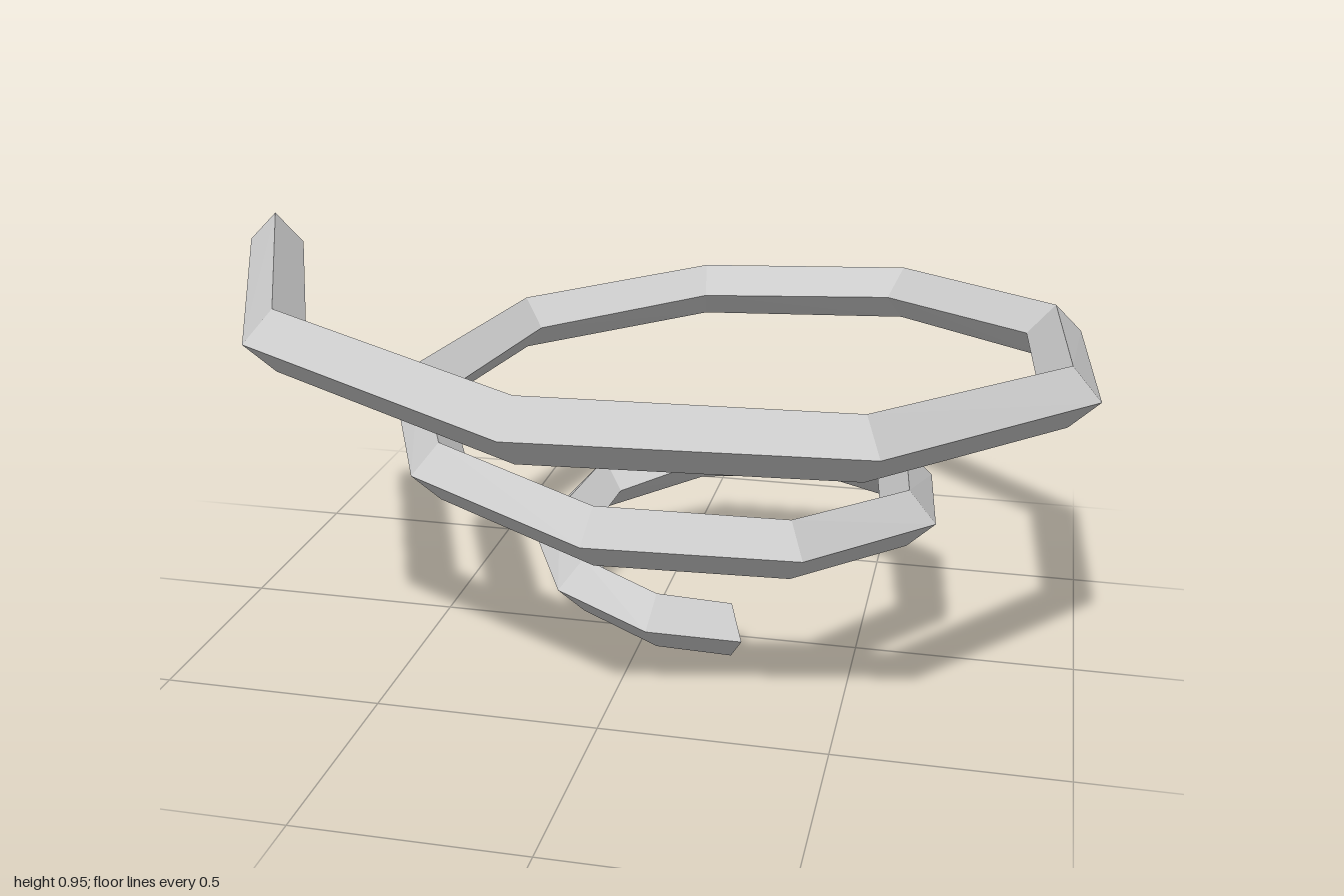
import * as THREE from 'three';

const SEGMENTS = 21;          // straight bars along the spiral
const STEP = Math.PI * 2 / 9; // nine bars per turn
const START = Math.PI / 3;
const HALF = 0.067;           // centre to corner of the diamond section

// Corner k of the diamond section at station i, lying in the radial plane
function corner(i, k) {
  const angle = START + i * STEP;
  const a = k * Math.PI / 2;
  const r = 0.232 + i * 0.0383 + HALF * Math.cos(a);
  const y = HALF + i * 0.0387 + HALF * Math.sin(a);
  return [0.105 + r * Math.cos(angle), y, -0.098 + r * Math.sin(angle)];
}

export function createModel() {
  const positions = [];
  const quad = (a, b, c, d) => positions.push(...a, ...b, ...c, ...a, ...c, ...d);

  // Four sides of every bar
  for (let i = 0; i < SEGMENTS; i++) {
    for (let k = 0; k < 4; k++) {
      quad(corner(i, k), corner(i, k + 1), corner(i + 1, k + 1), corner(i + 1, k));
    }
  }

  // End caps
  quad(...[3, 2, 1, 0].map(k => corner(0, k)));
  quad(...[0, 1, 2, 3].map(k => corner(SEGMENTS, k)));

  const geometry = new THREE.BufferGeometry();
  geometry.setAttribute('position', new THREE.Float32BufferAttribute(positions, 3));
  geometry.computeVertexNormals();

  const spiral = new THREE.Mesh(
    geometry,
    new THREE.MeshStandardMaterial({ color: 0xcccccc, flatShading: true })
  );
  spiral.name = 'spiralBar';

  const group = new THREE.Group();
  group.name = 'conicalSpiral';
  group.add(spiral);
  return group;
}
